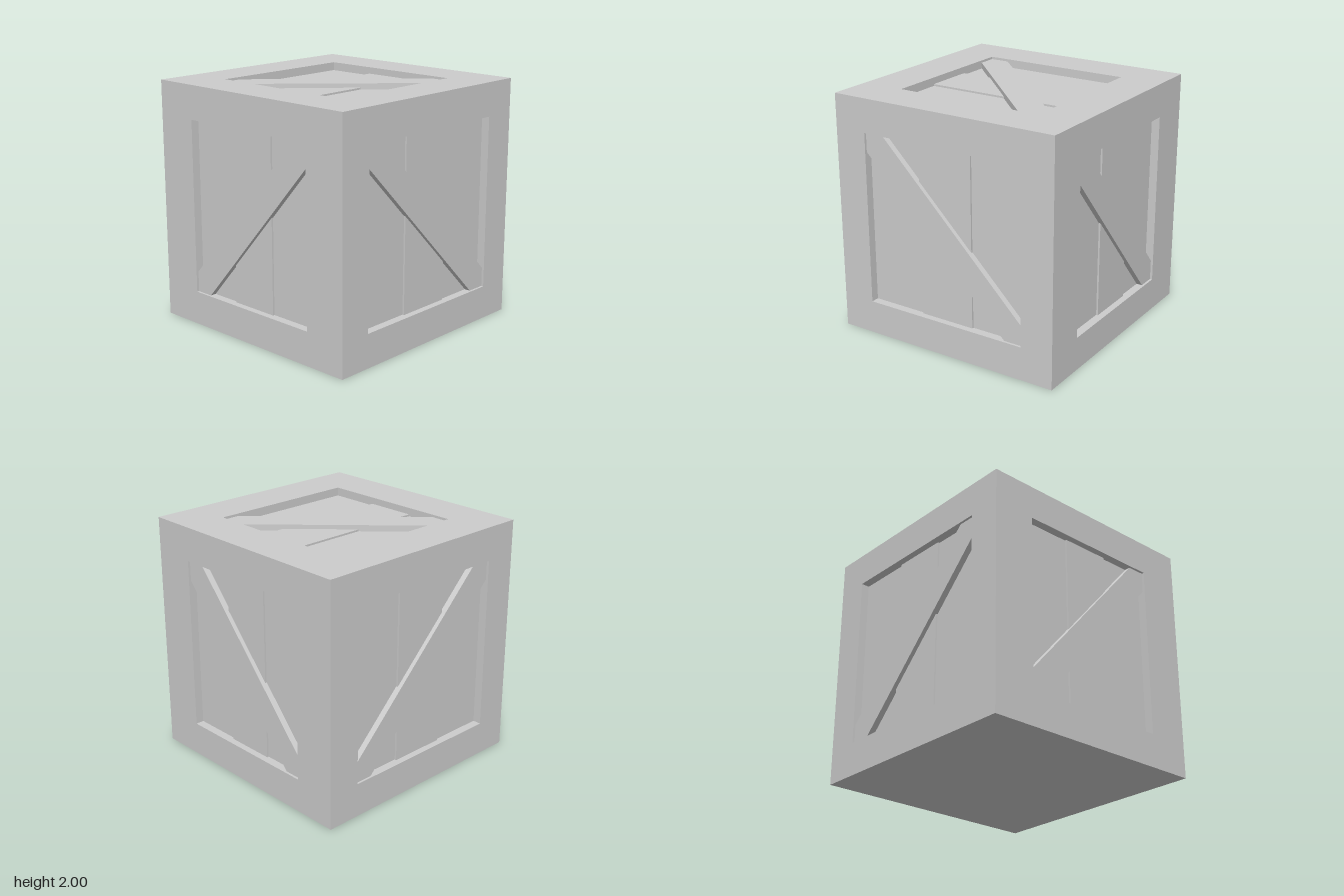
import * as THREE from 'three';
import { mergeGeometries } from 'three/addons/utils/BufferGeometryUtils.js';

const RECESS = 0.07;        // depth of the outer planks
const MIDDLE_RECESS = 0.055; // the middle plank stands slightly proud
const BRACE_RECESS = 0.02;

const grey = new THREE.MeshStandardMaterial({ color: 0xcccccc });
grey.name = 'plain grey';

function addMesh(parent, name, geometry) {
  const mesh = new THREE.Mesh(geometry, grey);
  mesh.name = name;
  parent.add(mesh);
}

function polygon(points) {
  return points.map(([x, y]) => new THREE.Vector2(x, y));
}

// Flat border around the opening, plus the four walls leading into it
function frameGeometry(w, h) {
  const border = new THREE.Shape(polygon([[-1, -1], [1, -1], [1, 1], [-1, 1]]));
  border.holes.push(new THREE.Path(polygon([[-w, -h], [-w, h], [w, h], [w, -h]])));
  const parts = [new THREE.ShapeGeometry(border).translate(0, 0, 1)];
  const z = 1 - RECESS / 2;
  for (const s of [-1, 1]) {
    parts.push(new THREE.PlaneGeometry(RECESS, 2 * h).rotateY(-s * Math.PI / 2).translate(s * w, 0, z));
    parts.push(new THREE.PlaneGeometry(2 * w, RECESS).rotateX(s * Math.PI / 2).translate(0, s * h, z));
  }
  return mergeGeometries(parts);
}

// Diagonal board trimmed to the opening; dir = 1 rises to the right, -1 to the left
function braceGeometry(w, h, a, b, dir) {
  const outline = [[-w, -h], [a - w, -h], [w, h - b], [w, h], [w - a, h], [-w, b - h]];
  const shape = new THREE.Shape(polygon(outline.map(([x, y]) => [x * dir, y])));
  const depth = RECESS - BRACE_RECESS;
  return new THREE.ExtrudeGeometry(shape, { depth, bevelEnabled: false }).translate(0, 0, 1 - RECESS);
}

// One panelled side, built facing +z at distance 1 from the centre
function createSide({ name, w, h, a, b, dir, rotation }) {
  const side = new THREE.Group();
  side.name = name;
  addMesh(side, 'frame', frameGeometry(w, h));
  const plankWidth = 2 * w / 3;
  ['leftPlank', 'middlePlank', 'rightPlank'].forEach((plank, i) => {
    const front = 1 - (i === 1 ? MIDDLE_RECESS : RECESS);
    const geometry = new THREE.BoxGeometry(plankWidth, 2 * h, 0.04);
    addMesh(side, plank, geometry.translate((i - 1) * plankWidth, 0, front - 0.02));
  });
  addMesh(side, 'diagonalBrace', braceGeometry(w, h, a, b, dir));
  side.rotation.set(...rotation);
  return side;
}

export function createModel() {
  const crate = new THREE.Group();
  crate.name = 'crate';
  const body = new THREE.Group();
  body.name = 'body';
  body.position.y = 1;
  crate.add(body);

  const q = Math.PI / 2;
  const tall = { w: 0.635, h: 0.72, a: 0.15, b: 0.17 };
  const wide = { w: 0.72, h: 0.72, a: 0.16, b: 0.16 };
  const lid = { w: 0.635, h: 0.635, a: 0.16, b: 0.16 };
  [
    { name: 'frontSide', ...tall, dir: 1, rotation: [0, 0, 0] },
    { name: 'backSide', ...tall, dir: -1, rotation: [0, 2 * q, 0] },
    { name: 'leftSide', ...wide, dir: -1, rotation: [0, q, 0] },
    { name: 'rightSide', ...wide, dir: 1, rotation: [0, -q, 0] },
    { name: 'topSide', ...lid, dir: 1, rotation: [-q, 0, 0] },
  ].forEach((spec) => body.add(createSide(spec)));

  // Plain bottom
  addMesh(body, 'bottom', new THREE.PlaneGeometry(2, 2).rotateX(q).translate(0, -1, 0));
  return crate;
}
